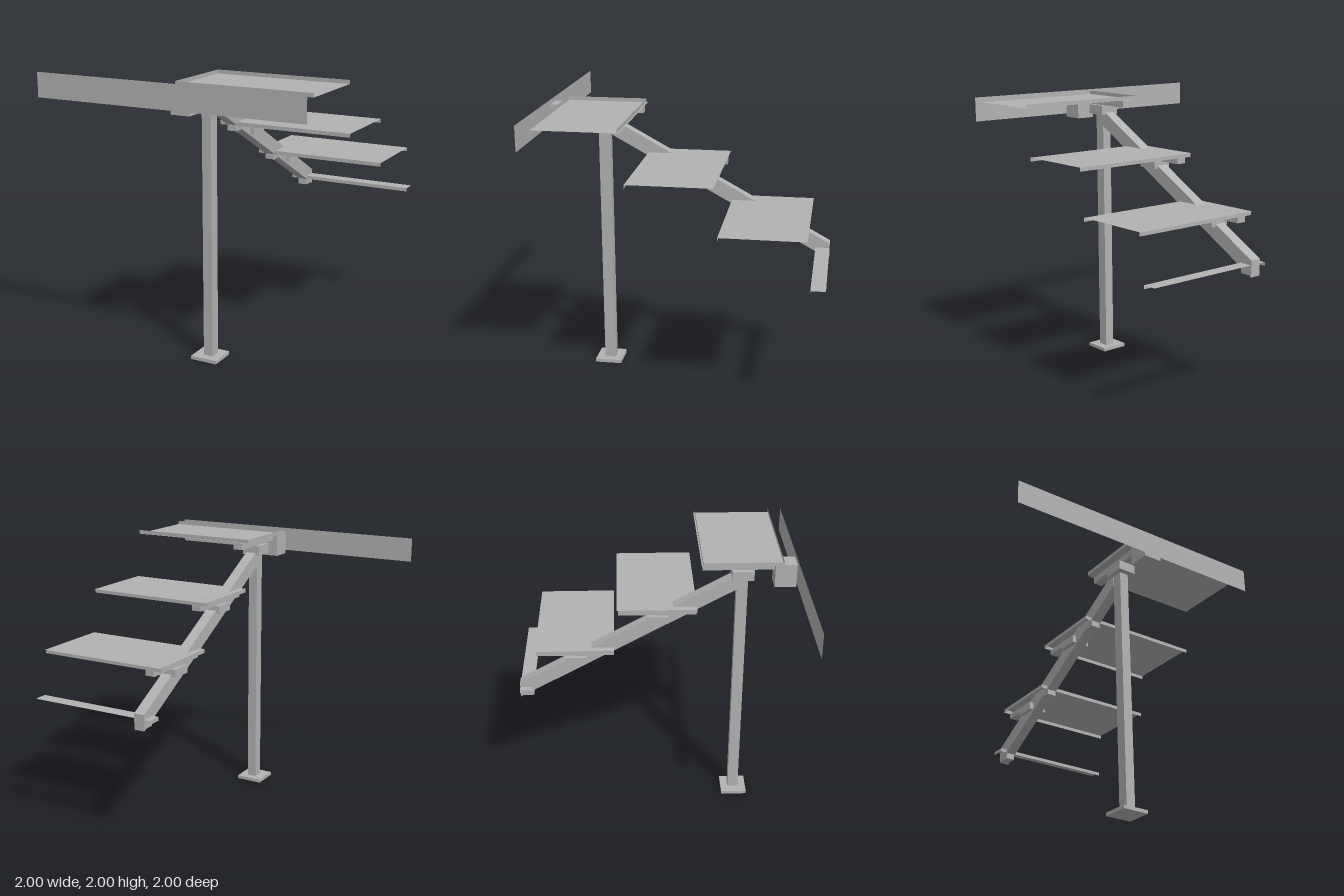
import * as THREE from 'three';

const steel = new THREE.MeshStandardMaterial({ color: 0xb2b2b2, side: THREE.DoubleSide });
steel.name = 'grey steel';

const POST_X = 0.12; // centre line of the post and stringer
const X0 = 0.03, X1 = 1; // tread ends

function add(parent, name, geometry) {
  const mesh = new THREE.Mesh(geometry, steel);
  mesh.name = name;
  parent.add(mesh);
  return mesh;
}

// Box given by its limits on each axis
function box(parent, name, [xa, xb], [ya, yb], [za, zb]) {
  const g = new THREE.BoxGeometry(xb - xa, yb - ya, zb - za);
  g.translate((xa + xb) / 2, (ya + yb) / 2, (za + zb) / 2);
  return add(parent, name, g);
}

const around = (c, width) => [c - width / 2, c + width / 2];

// Upright sheet along x at depth z
function sheet(parent, name, [xa, xb], [ya, yb], z) {
  const g = new THREE.PlaneGeometry(xb - xa, yb - ya);
  g.translate((xa + xb) / 2, (ya + yb) / 2, z);
  return add(parent, name, g);
}

// Folded sheet tread: flat plate with flanges on the front, back and inner end
function tread(name, plateY, flangeY, zFront, zBack, hasBack = true) {
  const group = new THREE.Group();
  group.name = name;
  const lip = hasBack ? 0.01 : 0;
  const depth = zFront - zBack + lip;
  const plate = new THREE.PlaneGeometry(X1 - X0, depth).rotateX(-Math.PI / 2);
  plate.translate((X0 + X1) / 2, plateY, (zFront + zBack - lip) / 2);
  add(group, 'treadPlate', plate);

  const ys = [Math.min(plateY, flangeY), Math.max(plateY, flangeY)];
  sheet(group, 'frontFlange', [X0, X1], ys, zFront);
  if (hasBack) sheet(group, 'backFlange', [X0, X1], ys, zBack);
  const end = new THREE.PlaneGeometry(zFront - zBack, ys[1] - ys[0]).rotateY(-Math.PI / 2);
  end.translate(X0, (ys[0] + ys[1]) / 2, (zFront + zBack) / 2);
  add(group, 'endFlange', end);
  return group;
}

export function createModel() {
  const model = new THREE.Group();
  model.name = 'cantileverStair';

  // Post on its base plate
  box(model, 'basePlate', around(0.115, 0.2), [0, 0.025], [0.525, 0.72]);
  box(model, 'post', around(POST_X, 0.07), [0.025, 1.85], [0.58, 0.66]);

  // Sloping stringer with plumb-cut ends
  const zTop = 0.58, zLow = -1, slope = 0.547;
  const stringer = new THREE.BoxGeometry(0.08, 0.116, zTop - zLow);
  stringer.translate(POST_X, 0.963, (zTop + zLow) / 2);
  const p = stringer.attributes.position;
  for (let i = 0; i < p.count; i++) p.setY(i, p.getY(i) + slope * (p.getZ(i) - zLow));
  stringer.computeVertexNormals();
  add(model, 'stringer', stringer);

  // Top step is an upturned tray
  model.add(tread('topTread', 1.973, 2, 0.903, 0.337));
  box(model, 'topArm', around(POST_X, 0.07), [1.92, 1.97], [0.337, 0.9]);
  box(model, 'topBracket', around(POST_X, 0.14), [1.85, 1.92], [0.545, 0.7]);

  // Middle steps are downturned trays on arms and brackets
  for (let i = 0; i < 2; i++) {
    const y = 1.64 - i * 0.325, z = -i * 0.6;
    model.add(tread('tread', y, y - 0.027, z + 0.302, z - 0.262));
    box(model, 'treadArm', around(POST_X, 0.07), [y - 0.067, y - 0.028], [z - 0.262, z + 0.302]);
    box(model, 'treadBracket', around(POST_X, 0.14), [y - 0.124, y - 0.067], [z - 0.055, z + 0.1]);
    box(model, 'bolt', around(POST_X, 0.02), [y - 0.005, y + 0.002], around(z - 0.14, 0.02));
  }

  // Front strip of the lowest step
  model.add(tread('lowestTread', 0.988, 0.962, -0.9, -1, false));
  box(model, 'lowestArm', around(POST_X, 0.07), [0.915, 0.96], [-1, -0.9]);

  // Wall block and landing fascia
  box(model, 'wallBlock', around(POST_X, 0.14), [1.8, 1.97], [0.845, 0.998]);
  box(model, 'bolt', around(POST_X, 0.02), [1.965, 1.972], around(0.94, 0.02));
  sheet(model, 'fascia', [-1, 1], [1.825, 2], 1);

  return model;
}
